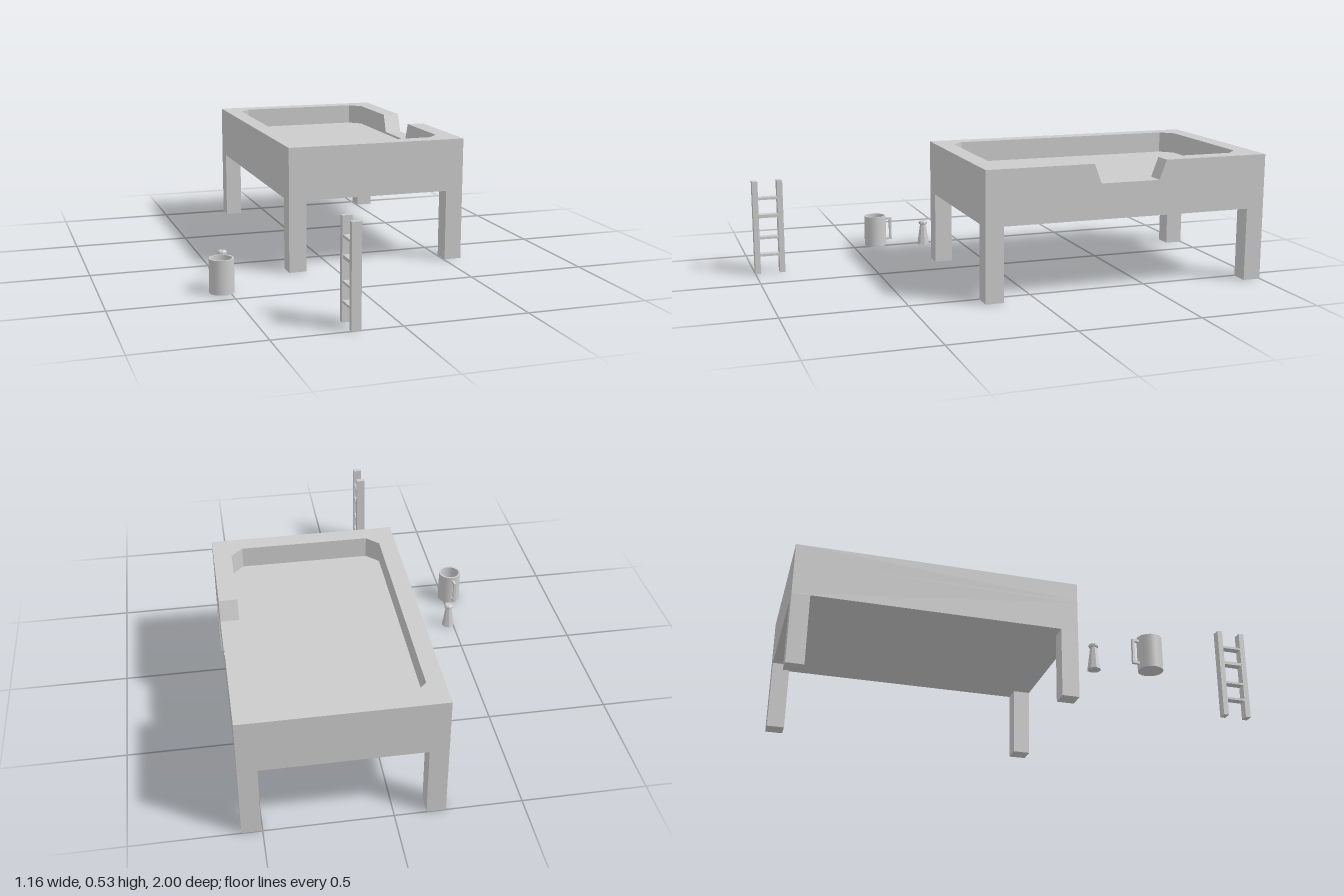
import * as THREE from 'three';

const material = new THREE.MeshStandardMaterial({ color: 0xcccccc });
const flat = new THREE.MeshStandardMaterial({ color: 0xcccccc, flatShading: true });

function addMesh(parent, name, geometry, mat = material) {
  const mesh = new THREE.Mesh(geometry, mat);
  mesh.name = name;
  parent.add(mesh);
  return mesh;
}

// Box given by its lowest and highest corner
function addBox(parent, name, [x0, y0, z0], [x1, y1, z1]) {
  const mesh = addMesh(parent, name, new THREE.BoxGeometry(x1 - x0, y1 - y0, z1 - z0));
  mesh.position.set((x0 + x1) / 2, (y0 + y1) / 2, (z0 + z1) / 2);
  return mesh;
}

// Extrudes a plan drawn in (x, -z) upwards from y0 to y1
function extrudeUp(shape, y0, y1) {
  return new THREE.ExtrudeGeometry(shape, { depth: y1 - y0, bevelEnabled: false })
    .rotateX(-Math.PI / 2).translate(0, y0, 0);
}

const toPoints = (list) => list.map(([x, z]) => new THREE.Vector2(x, -z));

function createTable() {
  const table = new THREE.Group();
  table.name = 'table';
  const L = -0.2, R = 0.58, B = -1, F = 0.213;
  const under = 0.305, floor = 0.44, sill = 0.45, top = 0.53, leg = 0.075;
  const l = -0.13, r = 0.505, b = -0.925, f = 0.138, c = 0.05;
  const notchFront = -0.268, notchBack = -0.52, slope = 0.03;

  addBox(table, 'tableBed', [L, under, B], [R, floor, F]);

  for (const x of [L, R - leg]) {
    for (const z of [B, F - leg]) addBox(table, 'leg', [x, 0, z], [x + leg, under, z + leg]);
  }

  // Recess outline with cut corners, running from the notch front round to the notch back
  const recess = [[r, f - c], [r - c, f], [l + c, f], [l, f - c],
    [l, b + c], [l + c, b], [r - c, b], [r, b + c]];

  // Low closed ring around the recess
  const ring = new THREE.Shape(toPoints([[L, F], [R, F], [R, B], [L, B]]));
  ring.holes.push(new THREE.Path(toPoints(recess)));
  addMesh(table, 'lowerRim', extrudeUp(ring, floor, sill));

  // Upper rim, open at the notch; its ends lean back towards the top
  const rim = new THREE.Shape(toPoints([
    [R, notchFront], [R, F], [L, F], [L, B], [R, B], [R, notchBack],
    [r, notchBack], ...recess.slice().reverse(), [r, notchFront],
  ]));
  const rimGeometry = extrudeUp(rim, sill, top);
  const p = rimGeometry.attributes.position;
  for (let i = 0; i < p.count; i++) {
    if (p.getY(i) < top - 0.01) continue;
    const z = p.getZ(i);
    if (Math.abs(z - notchFront) < 0.001) p.setZ(i, z + slope);
    if (Math.abs(z - notchBack) < 0.001) p.setZ(i, z - slope);
  }
  rimGeometry.computeVertexNormals();
  addMesh(table, 'upperRim', rimGeometry);
  return table;
}

function createLadder() {
  const ladder = new THREE.Group();
  ladder.name = 'ladder';
  for (const z of [0.873, 0.977]) addBox(ladder, 'rail', [-0.2, 0, z], [-0.162, 0.4, z + 0.023]);
  for (const [y, h] of [[0.08, 0.01], [0.155, 0.01], [0.249, 0.014], [0.325, 0.01]]) {
    addBox(ladder, 'rung', [-0.198, y - h / 2, 0.89], [-0.164, y + h / 2, 0.98]);
  }
  return ladder;
}

function createMug() {
  const mug = new THREE.Group();
  mug.name = 'mug';
  // Repeated corner points keep the edges sharp
  const R = 0.05, r = 0.042, h = 0.14, base = 0.012;
  const walls = [
    [[0, 0], [R, 0]], [[R, 0], [R, h]], [[R, h], [r, h]], [[r, h], [r, base]], [[r, base], [0, base]],
  ];
  for (const wall of walls) {
    addMesh(mug, 'mugBody', new THREE.LatheGeometry(wall.map(([x, y]) => new THREE.Vector2(x, y)), 32));
  }
  // Square loop handle at the back
  const handle = new THREE.Group();
  handle.name = 'handle';
  addBox(handle, 'grip', [-0.006, 0.02, -0.08], [0.006, 0.125, -0.07]);
  for (const y of [0.02, 0.115]) addBox(handle, 'handleArm', [-0.006, y, -0.07], [0.006, y + 0.01, -0.045]);
  handle.rotation.y = 0.12;
  mug.add(handle);
  mug.position.set(-0.53, 0, 0.393);
  return mug;
}

function createShaker() {
  const profile = [[0, 0], [0.028, 0], [0.014, 0.095], [0.02, 0.098], [0.02, 0.106], [0.015, 0.111], [0, 0.111]];
  const shaker = new THREE.Mesh(
    new THREE.LatheGeometry(profile.map(([x, y]) => new THREE.Vector2(x, y)), 8), flat);
  shaker.name = 'taperedBottle';
  shaker.position.set(-0.477, 0, 0.175);
  return shaker;
}

export function createModel() {
  const model = new THREE.Group();
  model.name = 'tableSet';
  model.add(createTable(), createLadder(), createMug(), createShaker());
  return model;
}
